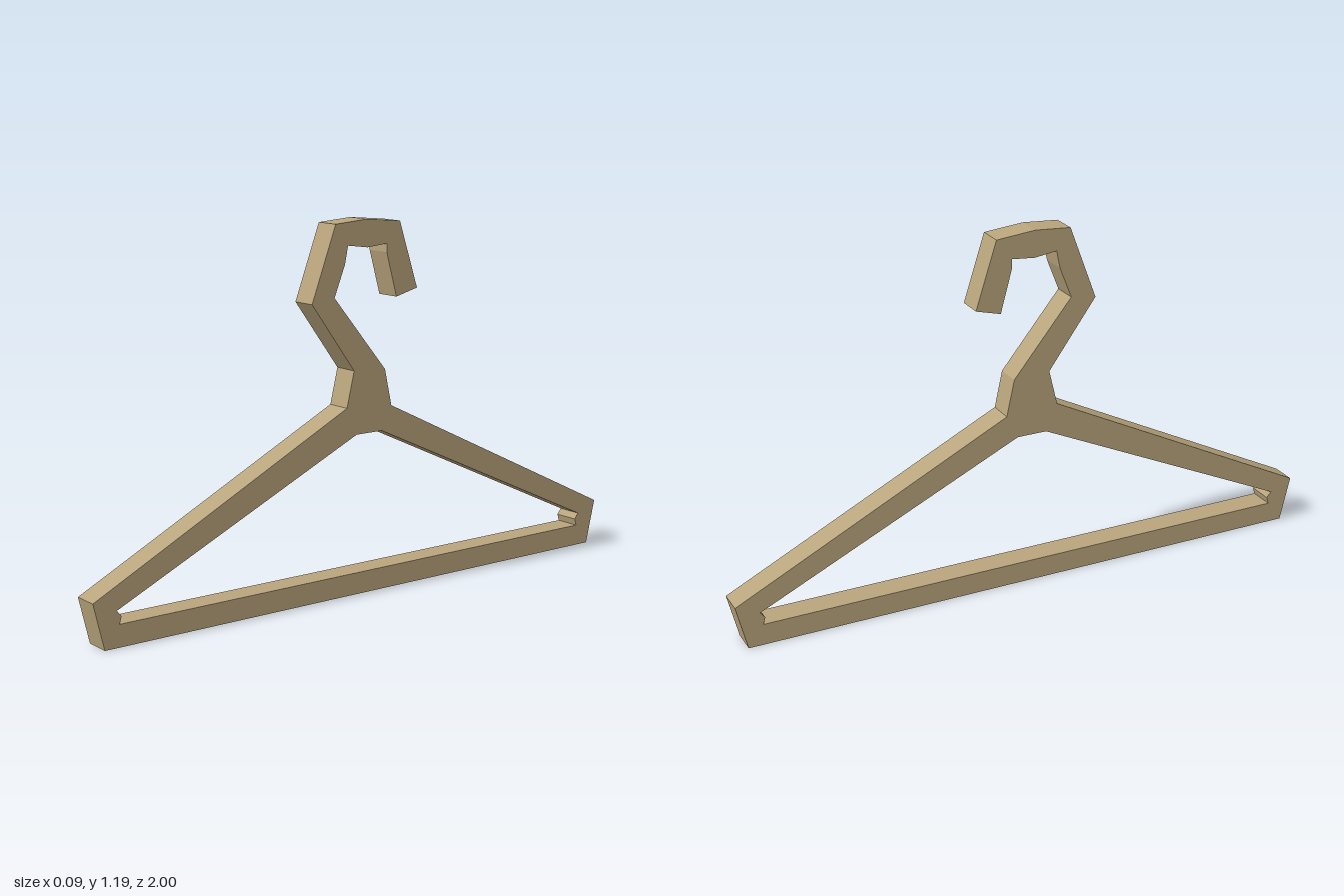
import * as THREE from 'three';

const toPoints = (list) => list.map(([z, y]) => new THREE.Vector2(z, y));

export function createModel() {
  const group = new THREE.Group();
  group.name = 'coatHanger';
  const thickness = 0.086;

  // Silhouette as [z, y]: bottom bar, front shoulder, neck, hook, back shoulder
  const outline = new THREE.Shape(toPoints([
    [-0.965, 0], [0.965, 0], [1, 0.147], // bottom bar and front tip
    [0.088, 0.605], [0.06, 0.72], // front shoulder and neck
    [0.22, 0.94], [0.13, 1.178], [0.01, 1.187], [-0.12, 1.175], // outside of hook
    [-0.19, 0.96], [-0.107, 0.938], // hook end
    [-0.068, 1.08], [-0.068, 1.107], [0.008, 1.1], [0.083, 1.11], // inside of hook
    [0.095, 1.053], [0.135, 0.953],
    [-0.062, 0.713], [-0.088, 0.594], // back of neck
    [-1, 0.147], // back tip
  ]));

  // Opening between the shoulders and the bottom bar, mirrored about z = 0
  const half = [[0.05, 0.517], [0.922, 0.112], [0.907, 0.093], [0.914, 0.07]];
  const mirrored = half.map(([z, y]) => [-z, y]).reverse();
  outline.holes.push(new THREE.Path(toPoints([...half, ...mirrored])));

  // Extrude, centre the thickness, then turn the profile into the z-y plane
  const geometry = new THREE.ExtrudeGeometry(outline, { depth: thickness, bevelEnabled: false });
  geometry.translate(0, 0, -thickness / 2);
  geometry.rotateY(-Math.PI / 2);

  const wood = new THREE.MeshStandardMaterial({ color: 0xb9a57c, flatShading: true });
  const frame = new THREE.Mesh(geometry, wood);
  frame.name = 'hangerFrameAndHook';
  group.add(frame);
  return group;
}
